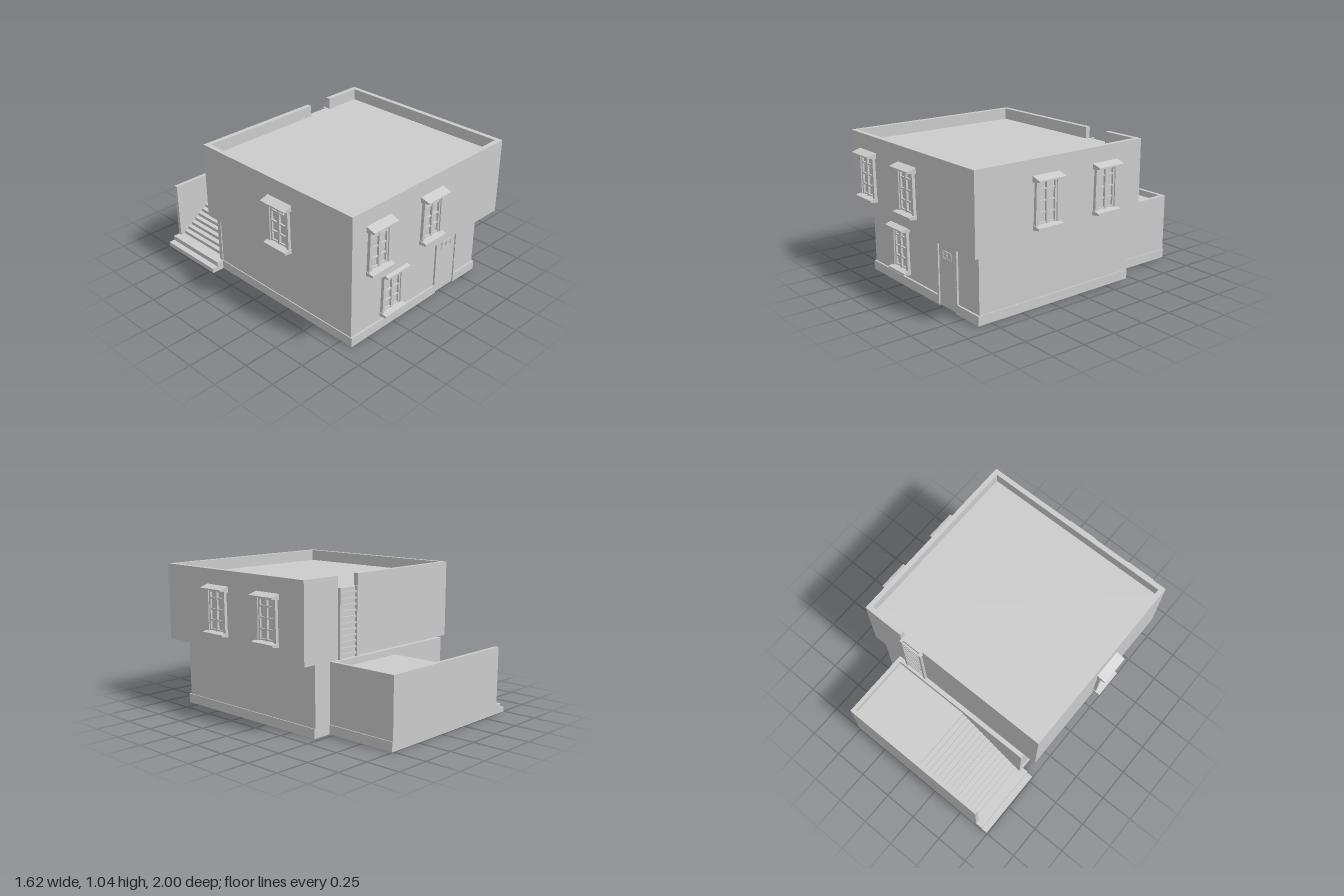
import * as THREE from 'three';

const material = new THREE.MeshStandardMaterial({ color: 0xcccccc, flatShading: true });

function add(parent, name, geometry) {
  const mesh = new THREE.Mesh(geometry, material);
  mesh.name = name;
  parent.add(mesh);
  return mesh;
}

// Box given by its limits on each axis
function block(parent, name, [x0, x1], [y0, y1], [z0, z1]) {
  const g = new THREE.BoxGeometry(x1 - x0, y1 - y0, z1 - z0);
  g.translate((x0 + x1) / 2, (y0 + y1) / 2, (z0 + z1) / 2);
  return add(parent, name, g);
}

// Outline in x and y, extruded from z0 to z1
function extrude(points, z0, z1) {
  const shape = new THREE.Shape(points.map(([x, y]) => new THREE.Vector2(x, y)));
  const g = new THREE.ExtrudeGeometry(shape, { depth: z1 - z0, bevelEnabled: false });
  return g.translate(0, 0, z0);
}

// Outline in z and y, extruded to a width centred on x
function ledge(points, width) {
  return extrude(points, -width / 2, width / 2).rotateY(-Math.PI / 2);
}

// Window facing +z, its sill resting on local y = 0
function createWindow() {
  const w = new THREE.Group();
  w.name = 'window';
  add(w, 'sill', ledge([[0, 0], [0.058, 0.008], [0.058, 0.022], [0, 0.032]], 0.21));
  add(w, 'canopy', ledge([[0, 0.312], [0.068, 0.322], [0.068, 0.332], [0, 0.352]], 0.22));
  for (const s of [-1, 1]) {
    // Jambs lean in a little towards the top
    const jamb = [[s * 0.078, 0.025], [s * 0.1, 0.025], [s * 0.094, 0.32], [s * 0.076, 0.32]];
    add(w, 'jamb', extrude(s > 0 ? jamb : jamb.reverse(), 0, 0.022));
    block(w, 'sashStile', [s * 0.07 - 0.007, s * 0.07 + 0.007], [0.03, 0.315], [0, 0.014]);
  }
  block(w, 'centreStile', [-0.009, 0.009], [0.03, 0.315], [0, 0.016]);
  for (const y of [0.038, 0.106, 0.182, 0.26, 0.308])
    block(w, 'glazingBar', [-0.076, 0.076], [y - 0.005, y + 0.005], [0, 0.012]);
  return w;
}

export function createModel() {
  const house = new THREE.Group();
  house.name = 'house';

  // Ground floor
  block(house, 'groundFloor', [-0.643, 0.643], [0, 0.49], [-0.465, 0.832]);
  for (const s of [-1, 1])
    block(house, 'sidePlinth', s > 0 ? [0.643, 0.65] : [-0.65, -0.643], [0, 0.067], [-0.465, 0.832]);

  // Front plinth continues up around the door as its frame
  add(house, 'frontPlinthAndDoorFrame', extrude([
    [-0.65, 0], [0.208, 0], [0.208, 0.434], [0.405, 0.434], [0.405, 0], [0.65, 0],
    [0.65, 0.067], [0.42, 0.067], [0.42, 0.45], [0.192, 0.45], [0.192, 0.067], [-0.65, 0.067],
  ], 0.832, 0.846));

  // Door leaf with a small barred opening
  const door = new THREE.Group();
  door.name = 'door';
  house.add(door);
  block(door, 'doorLeaf', [0.212, 0.402], [0.004, 0.43], [0.832, 0.838]);
  for (const y of [0.345, 0.395])
    block(door, 'hatchRail', [0.255, 0.355], [y - 0.004, y + 0.004], [0.838, 0.844]);
  for (const x of [0.259, 0.305, 0.351])
    block(door, 'hatchBar', [x - 0.004, x + 0.004], [0.345, 0.395], [0.838, 0.844]);
  for (const y of [0.18, 0.3])
    block(door, 'hinge', [0.398, 0.424], [y - 0.008, y + 0.008], [0.838, 0.848]);

  // Overhanging upper floor, flat roof and parapet with a gap for the ladder
  const [left, right, back, front, roof, top, t] = [-0.745, 0.74, -0.465, 0.927, 0.96, 1.043, 0.036];
  block(house, 'upperFloor', [left, right], [0.49, roof], [back, front]);
  block(house, 'parapetFront', [left, right], [roof, top], [front - t, front]);
  block(house, 'parapetLeft', [right - t, right], [roof, top], [back, front - t]);
  block(house, 'parapetRight', [left, left + t], [roof, top], [back, front - t]);
  block(house, 'parapetBack', [left + t, 0.235], [roof, top], [back, back + t]);
  block(house, 'parapetBack', [0.43, right - t], [roof, top], [back, back + t]);

  // Ladder from the terrace to the roof
  const ladder = new THREE.Group();
  ladder.name = 'ladder';
  house.add(ladder);
  for (const x of [0.255, 0.42])
    block(ladder, 'ladderRail', [x - 0.009, x + 0.009], [0.445, 0.965], [-0.484, back]);
  for (let i = 0; i < 12; i++) {
    const y = 0.475 + i * 0.041;
    block(ladder, 'rung', [0.264, 0.411], [y - 0.007, y + 0.007], [-0.479, back]);
  }

  // Rear terrace and stairs as one stepped outline
  const steps = 15, foot = -0.65, head = -0.12, low = 0.07, deck = 0.445;
  const outline = [[0.475, 0], [0.475, deck]];
  for (let i = steps; i >= 1; i--) {
    const x = foot + (head - foot) * (i / steps);
    const y = low + (deck - low) * (i / steps);
    outline.push([x, y], [x, y - (deck - low) / steps]);
  }
  outline.push([foot, low], [foot, 0]);
  add(house, 'terraceAndStairs', extrude(outline.reverse(), -0.972, -0.498));
  block(house, 'bottomStep', [-0.745, -0.70], [0, 0.035], [-1, back]);
  block(house, 'secondStep', [-0.70, foot], [0, low], [-1, back]);
  block(house, 'terraceBackWall', [foot, 0.505], [0, 0.49], [-1, -0.972]);
  block(house, 'terraceHouseWall', [foot, 0.505], [0, 0.49], [-0.498, back]);
  block(house, 'terraceEndWall', [0.475, 0.505], [0, 0.49], [-0.972, -0.498]);
  block(house, 'terracePlinth', [0.505, 0.512], [0, 0.067], [-1, back]);

  // Windows: x, sill height, z, turn
  const q = Math.PI / 2;
  for (const [x, y, z, turn] of [
    [-0.515, 0.58, front, 0], [-0.008, 0.58, front, 0], [-0.265, 0.095, 0.832, 0],
    [right, 0.584, 0.375, q], [right, 0.584, -0.132, q], [left, 0.56, 0.292, -q],
  ]) {
    const w = createWindow();
    w.position.set(x, y, z);
    w.rotation.y = turn;
    house.add(w);
  }

  return house;
}
